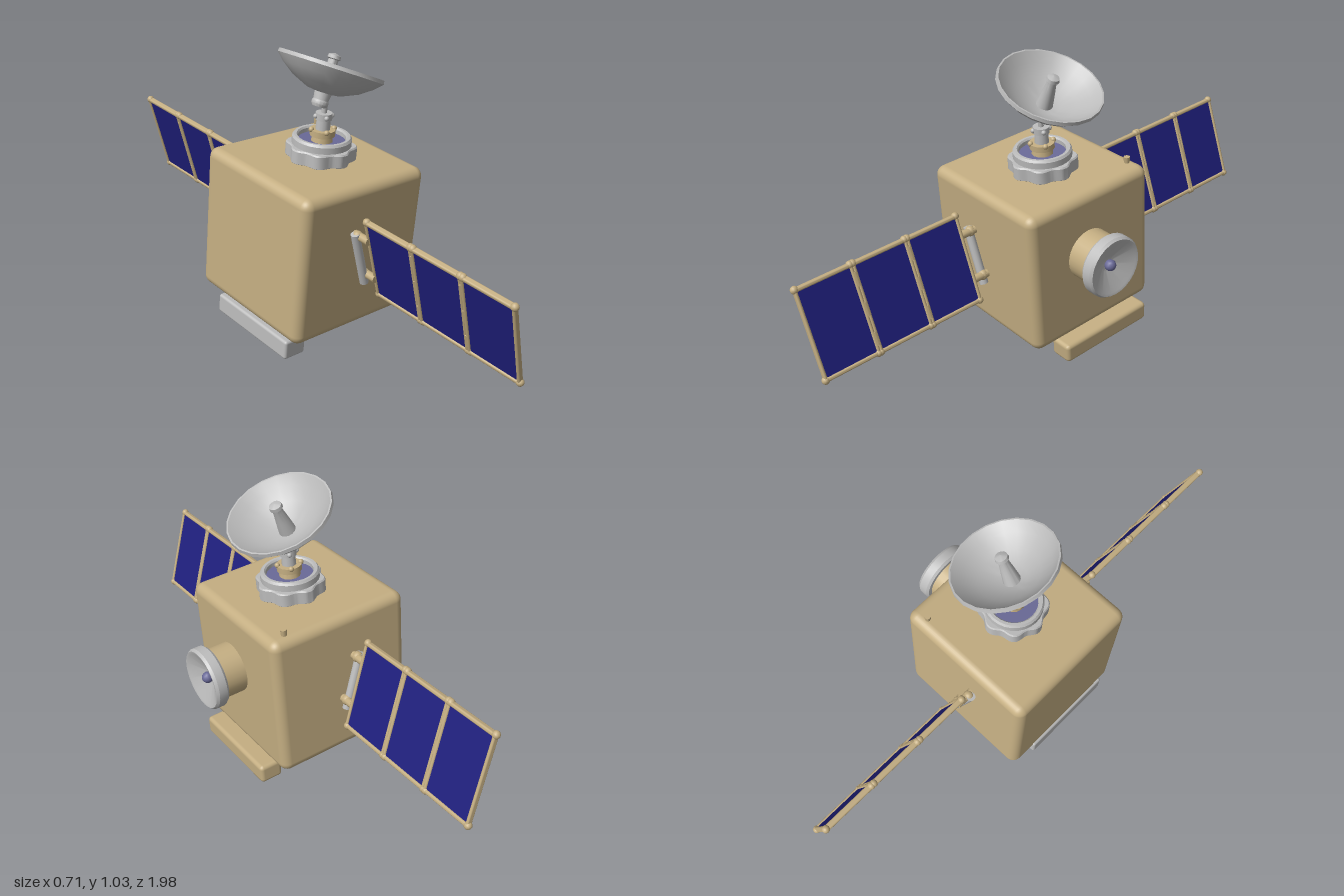
import * as THREE from 'three';
import { toCreasedNormals } from 'three/addons/utils/BufferGeometryUtils.js';
import { RoundedBoxGeometry } from 'three/addons/geometries/RoundedBoxGeometry.js';

const mat = (name, color) => Object.assign(new THREE.MeshStandardMaterial({ color }), { name });

export function createModel() {
  const foil = mat('foil tan', 0xc4ae82);
  const grey = mat('light grey', 0xbcbcbc);
  const blue = mat('solar blue', 0x20207f);
  const violet = mat('dull violet', 0x6a6a98);

  const add = (parent, name, geo, material, x = 0, y = 0, z = 0) => {
    const m = new THREE.Mesh(geo, material);
    m.name = name;
    m.position.set(x, y, z);
    parent.add(m);
    return m;
  };
  const lathe = (pts, seg = 24) => toCreasedNormals(
    new THREE.LatheGeometry(pts.map(p => new THREE.Vector2(...p)), seg), 0.6);
  const cyl = (r1, r2, h, seg = 14) => new THREE.CylinderGeometry(r1, r2, h, seg);
  const ball = r => new THREE.SphereGeometry(r, 12, 8);
  const group = (parent, name, x = 0, y = 0, z = 0) => {
    const g = new THREE.Group();
    g.name = name;
    g.position.set(x, y, z);
    parent.add(g);
    return g;
  };

  const model = new THREE.Group();
  model.name = 'satellite';

  // The whole craft floats with a slight tilt
  const craft = group(model, 'craft', -0.06, 0.355, 0);
  craft.rotation.set(0.085, 0.03, -0.035);

  // Body, skids, bottom cap
  add(craft, 'body', new RoundedBoxGeometry(0.55, 0.55, 0.55, 4, 0.035), foil);
  add(craft, 'leftSkid', new RoundedBoxGeometry(0.088, 0.072, 0.39, 2, 0.015), foil, 0.288, -0.298, -0.011);
  add(craft, 'rightSkid', new RoundedBoxGeometry(0.09, 0.072, 0.39, 2, 0.01), grey, -0.234, -0.309, 0.034);
  add(craft, 'bottomCap', lathe([[0, -0.312], [0.09, -0.308], [0.117, -0.295], [0.12, -0.27]], 28), grey, -0.005);
  add(craft, 'topStud', cyl(0.012, 0.01, 0.025, 8), foil, 0.205, 0.285, -0.235);

  // Side horn, pointing to the left
  const horn = group(craft, 'sideHorn', 0, 0.04, 0.02);
  horn.rotation.z = -Math.PI / 2;
  add(horn, 'hornBarrel', cyl(0.094, 0.094, 0.1, 28), foil, 0, 0.315, 0);
  add(horn, 'hornDish', lathe([[0.08, 0.357], [0.108, 0.359], [0.115, 0.368], [0.115, 0.4],
    [0.108, 0.41], [0.098, 0.408], [0.03, 0.372], [0, 0.37]], 28), grey);
  add(horn, 'hornBead', ball(0.021), violet, 0, 0.383, 0);
  add(horn, 'hornLatch', ball(0.013), grey, 0.095, 0.318, 0.01);

  // Lobed mount on top
  const mount = group(craft, 'topMount', 0.02, 0, 0);
  const lobes = new THREE.Shape(Array.from({ length: 96 }, (_, i) => {
    const a = i / 96 * Math.PI * 2;
    const r = 0.115 + 0.007 * Math.cos(a * 8);
    return new THREE.Vector2(r * Math.cos(a), r * Math.sin(a));
  }));
  lobes.holes.push(new THREE.Path().absarc(0, 0, 0.088, 0, Math.PI * 2, true));
  const lobeGeo = new THREE.ExtrudeGeometry(lobes, {
    depth: 0.044, bevelThickness: 0.005, bevelSize: 0.004, bevelSegments: 1, curveSegments: 24 });
  lobeGeo.rotateX(-Math.PI / 2);
  add(mount, 'lobedCollar', toCreasedNormals(lobeGeo, 0.6), grey, 0, 0.276, 0);
  add(mount, 'mountRing', lathe([[0.106, 0.27], [0.106, 0.348], [0.1, 0.356], [0.09, 0.356],
    [0.085, 0.35], [0.085, 0.27]], 28), grey);
  add(mount, 'mountFloor', cyl(0.088, 0.088, 0.06, 28), violet, 0, 0.305, 0);

  // Gimbal column
  add(mount, 'gimbalPlate', cyl(0.045, 0.045, 0.022, 16), foil, 0, 0.367, 0);
  add(mount, 'gimbalFoot', cyl(0.035, 0.04, 0.03, 12), foil, 0, 0.345, 0);
  add(mount, 'gimbalColumn', cyl(0.024, 0.026, 0.05), grey, 0, 0.4, 0);
  add(mount, 'gimbalHead', cyl(0.03, 0.03, 0.024), grey, 0, 0.427, 0);
  add(mount, 'gimbalPin', cyl(0.01, 0.01, 0.05, 8), grey, 0, 0.45, 0);
  for (let i = 0; i < 4; i++) {
    const a = i * Math.PI / 2 + 0.4;
    add(mount, 'gimbalBolt', ball(0.009), grey, 0.03 * Math.cos(a), 0.427, 0.03 * Math.sin(a));
    add(mount, 'plateBolt', ball(0.01), foil, 0.042 * Math.cos(a), 0.378, 0.042 * Math.sin(a));
  }

  // Main dish, origin at its vertex
  const dish = group(craft, 'mainDish', 0.022, 0.511, -0.015);
  dish.rotation.set(-0.085, 0, -0.385);
  add(dish, 'dishBowl', lathe([[0, -0.008], [0.06, 0], [0.12, 0.026], [0.165, 0.058], [0.192, 0.085],
    [0.19, 0.098], [0.184, 0.098], [0.155, 0.07], [0.11, 0.038], [0.055, 0.012], [0, 0.004]], 22), grey);
  add(dish, 'dishNeck', lathe([[0, -0.055], [0.024, -0.055], [0.03, -0.045], [0.03, -0.035],
    [0.027, -0.03], [0.032, 0.004]], 16), grey);
  add(dish, 'feedHorn', lathe([[0.032, 0], [0.024, 0.06], [0.018, 0.1], [0.018, 0.115],
    [0.024, 0.118], [0.022, 0.13], [0, 0.138]], 14), grey);

  // Solar wings, front and back
  const H = 0.166, Z0 = 0.335, Z1 = 0.972, bay = (Z1 - Z0) / 3;
  for (const s of [1, -1]) {
    const wing = group(craft, s > 0 ? 'frontWing' : 'backWing', -0.012, 0.028, 0);
    wing.rotation.z = 0.32;
    const bar = (name, y, z, h, d) =>
      add(wing, name, new RoundedBoxGeometry(0.022, h, d, 2, 0.006), foil, 0, y, s * z);

    for (let i = 0; i < 3; i++) {
      const a = Z0 + i * bay + 0.005, b = a + bay - 0.01, mid = (a + b) / 2;
      // Cells show on both faces
      add(wing, 'solarCell', new THREE.BoxGeometry(0.0095, 2 * H - 0.012, b - a - 0.01), blue, 0, 0, s * mid);
      for (const v of [-1, 1]) bar('frameRail', v * (H - 0.005), mid, 0.015, b - a);
      for (const e of [a, b]) {
        bar('framePost', 0, e, 2 * H, 0.012);
        for (const v of [-1, 1]) add(wing, 'cornerKnob', ball(0.014), foil, 0, v * (H - 0.004), s * e);
      }
      // Hinges between bays
      if (i) for (const v of [-0.11, 0, 0.11])
        add(wing, 'hinge', cyl(0.013, 0.013, 0.05, 8), foil, 0, v, s * (a - 0.005));
    }

    // Yoke holding the wing to the body
    for (const v of [-0.085, 0.085]) {
      const arm = add(wing, 'yokeArm', cyl(0.015, 0.015, 0.085, 10), foil, -0.008, v, s * 0.302);
      arm.rotation.x = Math.PI / 2;
      add(wing, 'yokeJoint', ball(0.02), foil, -0.012, v, s * 0.292);
    }
    add(wing, 'yokeRod', cyl(0.016, 0.016, 0.22, 12), grey, -0.02, -0.01, s * 0.292);
  }

  // Stand on the ground plane
  model.updateMatrixWorld(true);
  craft.position.y -= new THREE.Box3().setFromObject(model, true).min.y;
  return model;
}
